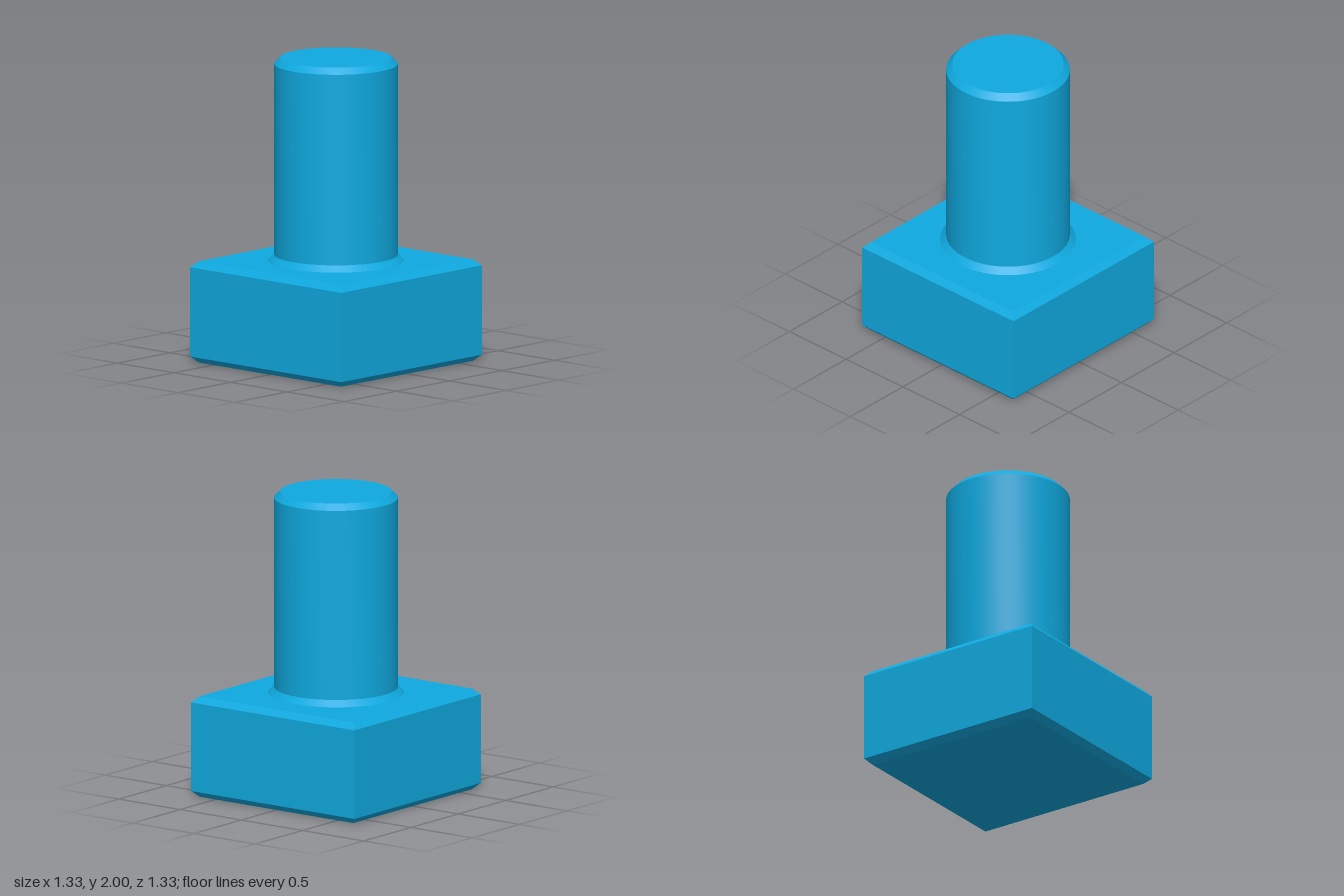
import * as THREE from 'three';
import { toCreasedNormals } from 'three/addons/utils/BufferGeometryUtils.js';

const HALF = 0.667;      // half width of the square head, also its height
const RADIUS = 0.4;      // shaft radius
const CHAMFER = 0.04;    // bevel used on every edge

// Turn a profile of [radius, height] pairs around the y axis, keeping edges sharp
function turned(profile, segments, phiStart = 0) {
  const points = profile.map(([r, y]) => new THREE.Vector2(r, y));
  const geometry = new THREE.LatheGeometry(points, segments, phiStart);
  return toCreasedNormals(geometry, 0.5);
}

export function createModel() {
  const group = new THREE.Group();
  group.name = 'squareHeadBolt';
  const material = new THREE.MeshStandardMaterial({ color: 0x0fa9df });

  // Square head with bevelled top and bottom edges: a four-sided turning
  const corner = HALF * Math.SQRT2;
  const inset = (HALF - CHAMFER) * Math.SQRT2;
  const head = new THREE.Mesh(turned([
    [0, 0],
    [inset, 0],
    [corner, CHAMFER],
    [corner, HALF - CHAMFER],
    [inset, HALF],
    [0, HALF],
  ], 4, Math.PI / 4), material);
  head.name = 'head';

  // Round shaft with a flared collar at the foot and a bevelled tip
  const shaft = new THREE.Mesh(turned([
    [RADIUS + CHAMFER, HALF],
    [RADIUS, HALF + CHAMFER],
    [RADIUS, 2 - CHAMFER],
    [RADIUS - CHAMFER, 2],
    [0, 2],
  ], 96), material);
  shaft.name = 'shaft';

  group.add(head, shaft);
  return group;
}
